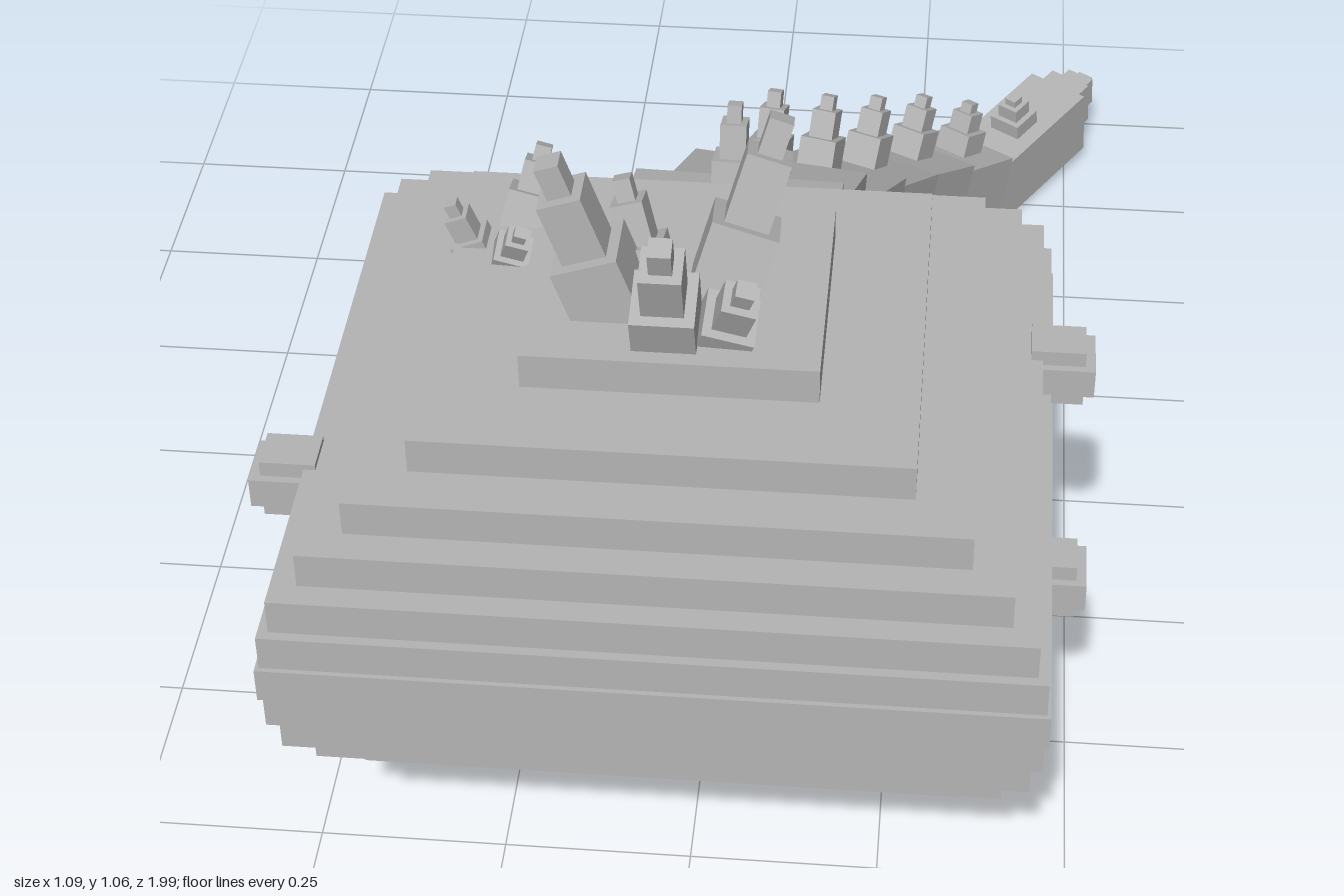
import * as THREE from 'three';

const V = (a) => new THREE.Vector3(...a);

export function createModel() {
  const model = new THREE.Group();
  const stone = new THREE.MeshStandardMaterial({ color: 0xb4b4b4 });
  stone.name = 'grey stone';

  const box = (parent, name, size, pos) => {
    const m = new THREE.Mesh(new THREE.BoxGeometry(...size), stone);
    m.name = name;
    m.position.set(...pos);
    parent.add(m);
    return m;
  };

  // A spike is three ever thinner blocks stacked from base to tip
  const spike = (parent, name, base, tip, w) => {
    const g = new THREE.Group();
    g.name = name;
    const dir = V(tip).sub(V(base));
    const len = dir.length();
    let y = 0;
    [[0.5, 1], [0.33, 0.66], [0.17, 0.36]].forEach(([part, k], i) => {
      const h = part * len;
      box(g, ['spikeBase', 'spikeMiddle', 'spikeTip'][i], [w * k, h, w * k], [0, y + h / 2, 0]);
      y += h;
    });
    g.position.set(...base);
    g.quaternion.setFromUnitVectors(new THREE.Vector3(0, 1, 0), dir.normalize());
    parent.add(g);
    return g;
  };

  // Stepped body: 13 slabs, widest in the middle
  const body = new THREE.Group();
  body.name = 'body';
  model.add(body);
  const cx = -0.02, cz = 0.573, slab = 0.048;
  const halfX = [0.18, 0.30, 0.37, 0.42, 0.452, 0.465, 0.47];
  const halfZ = [0.16, 0.268, 0.33, 0.372, 0.403, 0.415, 0.421];
  for (let i = 0; i < 13; i++) {
    const k = Math.min(i, 12 - i);
    box(body, 'bodyLayer', [halfX[k] * 2, slab, halfZ[k] * 2], [cx, 0.221 + slab * (i + 0.5), cz]);
  }

  // Cross-shaped studs on the flanks: side, y, z
  for (const [s, y, z] of [[1, 0.625, 0.43], [1, 0.43, 0.62], [-1, 0.618, 0.715], [-1, 0.423, 0.525]]) {
    box(body, 'studWide', [0.08, 0.042, 0.075], [cx + s * 0.48, y, z]);
    box(body, 'studTall', [0.07, 0.085, 0.055], [cx + s * 0.472, y, z]);
  }

  // Large spike cluster on the crown
  spike(model, 'crownSpikeLeaningRight', [-0.085, 0.80, 0.62], [-0.172, 1.05, 0.62], 0.085);
  spike(model, 'crownSpikeBack', [0.02, 0.80, 0.59], [0.098, 1.055, 0.515], 0.085);
  spike(model, 'crownSpikeFront', [-0.028, 0.81, 0.66], [-0.028, 1.015, 0.73], 0.078);
  spike(model, 'crownSpikeLow', [0.03, 0.81, 0.65], [0.07, 0.94, 0.705], 0.065);
  spike(model, 'crownSpikeRear', [-0.05, 0.81, 0.58], [-0.095, 0.97, 0.535], 0.062);

  // Small spike cluster on the right rear shoulder
  spike(model, 'shoulderSpikeRear', [-0.245, 0.77, 0.40], [-0.217, 0.88, 0.352], 0.058);
  spike(model, 'shoulderSpikeOuter', [-0.285, 0.75, 0.445], [-0.325, 0.852, 0.448], 0.045);
  spike(model, 'shoulderSpikeInner', [-0.255, 0.77, 0.465], [-0.228, 0.85, 0.5], 0.045);

  // Tail blocks: far-end centre, yaw, pitch down, width, height, length, spike height, spike offset
  const tail = [
    [[0.00, 0.42, 0.00], 2, 14, 0.30, 0.29, 0.28, 0.145, 0.09],
    [[0.04, 0.325, -0.175], 9, 21, 0.265, 0.275, 0.20, 0.13, 0.09],
    [[0.106, 0.243, -0.315], 15, 25, 0.24, 0.24, 0.19, 0.12, 0.08],
    [[0.175, 0.178, -0.455], 22, 26, 0.20, 0.205, 0.19, 0.11, 0.075],
    [[0.25, 0.122, -0.59], 28, 25, 0.17, 0.175, 0.19, 0.10, 0.075],
    [[0.335, 0.075, -0.71], 33, 20, 0.14, 0.14, 0.18, 0.085, 0.065],
    [[0.485, 0.085, -0.918], 35, -6, 0.11, 0.115, 0.25, 0.06, 0.13],
  ];
  const rad = THREE.MathUtils.degToRad;
  tail.forEach(([p, yaw, pitch, w, h, len, sh, off], i) => {
    const g = new THREE.Group();
    g.name = 'tailSegment' + (i + 1);
    g.position.set(...p);
    g.rotation.set(-rad(pitch), -rad(yaw), 0, 'YXZ');
    box(g, 'tailBlock', [w, h, len], [0, 0, len / 2]);
    spike(g, 'tailSpike', [0, h / 2 - 0.01, off], [0, h / 2 + sh, off], 0.056);
    if (i === tail.length - 1) spike(g, 'tailTip', [0, 0.01, 0.01], [0, 0.01, -0.085], 0.075);
    model.add(g);
  });

  return model;
}
